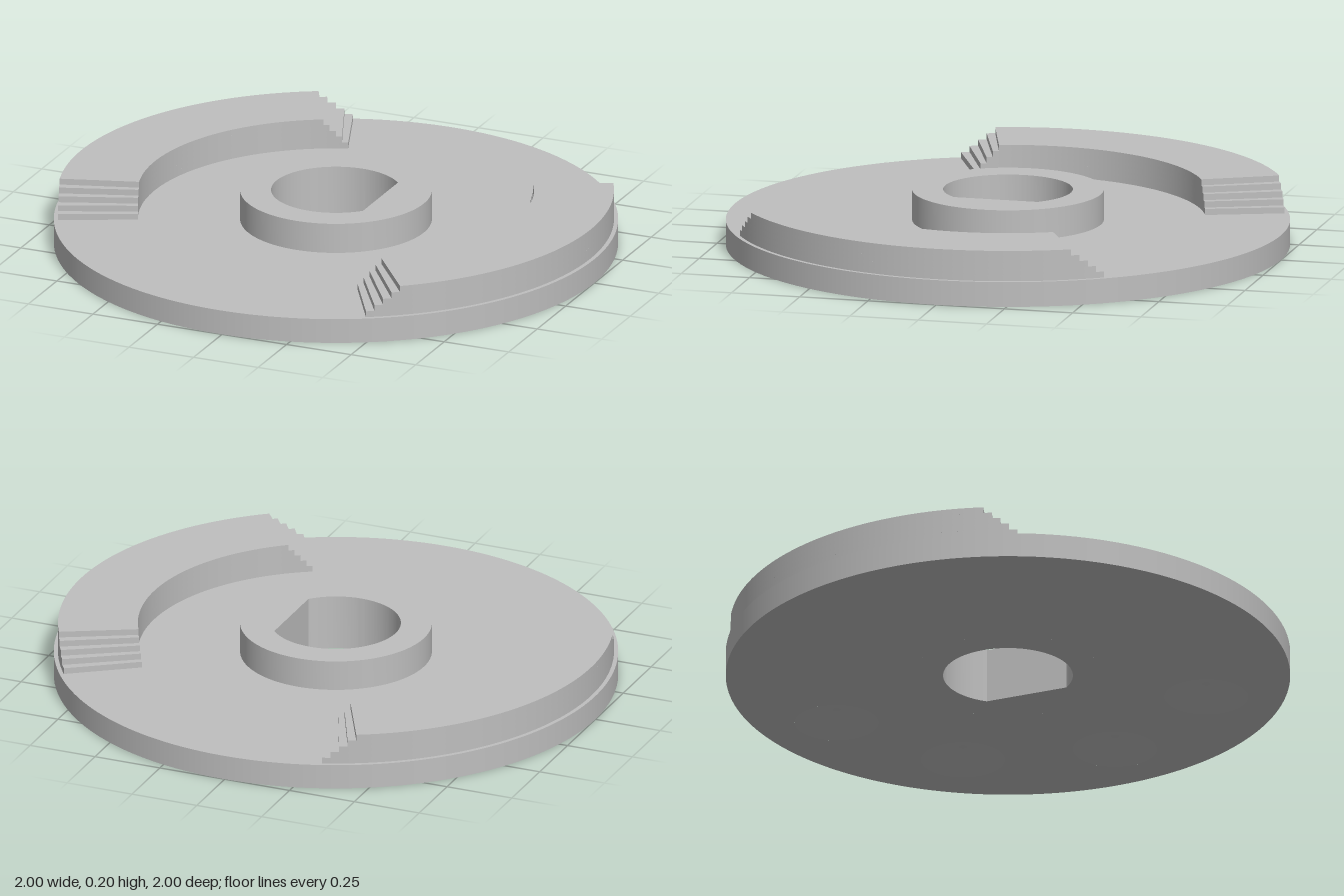
import * as THREE from 'three';
import { toCreasedNormals } from 'three/addons/utils/BufferGeometryUtils.js';

const BASE_TOP = 0.09, TOP = 0.2, HUB_R = 0.34;
const rad = THREE.MathUtils.degToRad;

export function createModel() {
  const group = new THREE.Group();
  const grey = new THREE.MeshStandardMaterial({ color: 0xbfbfbf });
  grey.name = 'satin grey';

  const add = (name, geometry, parent = group) => {
    const mesh = new THREE.Mesh(geometry, grey);
    mesh.name = name;
    parent.add(mesh);
    return mesh;
  };
  const circle = (r, x = 0, y = 0, Type = THREE.Path) =>
    new Type().absarc(x, y, r, 0, Math.PI * 2, Type === THREE.Path);
  // Plan outline extruded upwards from y0 to y1
  const extrudeUp = (shape, y0, y1, curveSegments) => {
    const g = new THREE.ExtrudeGeometry(shape, { depth: y1 - y0, bevelEnabled: false, curveSegments });
    g.rotateX(-Math.PI / 2).translate(0, y0, 0);
    return toCreasedNormals(g, 0.5);
  };

  // Base disc: rim, top face and underside with dimple openings
  const base = new THREE.Group();
  base.name = 'baseDisc';
  group.add(base);
  add('baseRim', new THREE.CylinderGeometry(1, 1, BASE_TOP, 128, 1, true).translate(0, BASE_TOP / 2, 0), base);
  const topFace = circle(1, 0, 0, THREE.Shape);
  topFace.holes.push(circle(HUB_R));
  add('baseTop', new THREE.ShapeGeometry(topFace, 128).rotateX(-Math.PI / 2).translate(0, BASE_TOP, 0), base);

  const underside = circle(1, 0, 0, THREE.Shape);
  underside.holes.push(circle(HUB_R));
  // Shallow conical dimples in the underside
  const profile = [[0, 0.055], [0.04, 0.043], [0.09, 0.02], [0.15, 0]].map(p => new THREE.Vector2(...p));
  for (const deg of [-53.2, -9, 35.2, 79.4]) {
    const x = 0.725 * Math.cos(rad(deg)), z = -0.725 * Math.sin(rad(deg));
    underside.holes.push(circle(0.15, x, z));
    add('dimple', new THREE.LatheGeometry(profile, 128), base).position.set(x, 0, z);
  }
  add('baseUnderside', new THREE.ShapeGeometry(underside, 128).rotateX(Math.PI / 2), base);

  // Hub with a D-shaped bore running through the disc
  const hub = circle(HUB_R, 0, 0, THREE.Shape);
  const flat = Math.acos(0.172 / 0.23);
  const bore = new THREE.Path();
  bore.absarc(0, 0, 0.23, flat, Math.PI * 2 - flat, false);
  bore.closePath();
  hub.holes.push(bore);
  add('hub', extrudeUp(hub, 0, TOP, 96));

  // Two raised arcs with five small stair steps at each end
  const STEPS = 5, rise = (TOP - BASE_TOP) / STEPS, run = 1.78;
  for (const [name, start, end] of [['rightCamArc', -60, 35], ['leftCamArc', 110.3, 204.5]]) {
    const cam = new THREE.Group();
    cam.name = name;
    group.add(cam);
    for (let i = 0; i < STEPS; i++) {
      const a = rad(start + i * run), b = rad(end - i * run);
      const s = new THREE.Shape();
      s.absarc(0, 0, 0.985, a, b, false);
      s.absarc(0, 0, 0.702, b, a, true);
      s.closePath();
      add('camLayer', extrudeUp(s, BASE_TOP + i * rise, BASE_TOP + (i + 1) * rise, 48), cam);
    }
  }
  return group;
}
